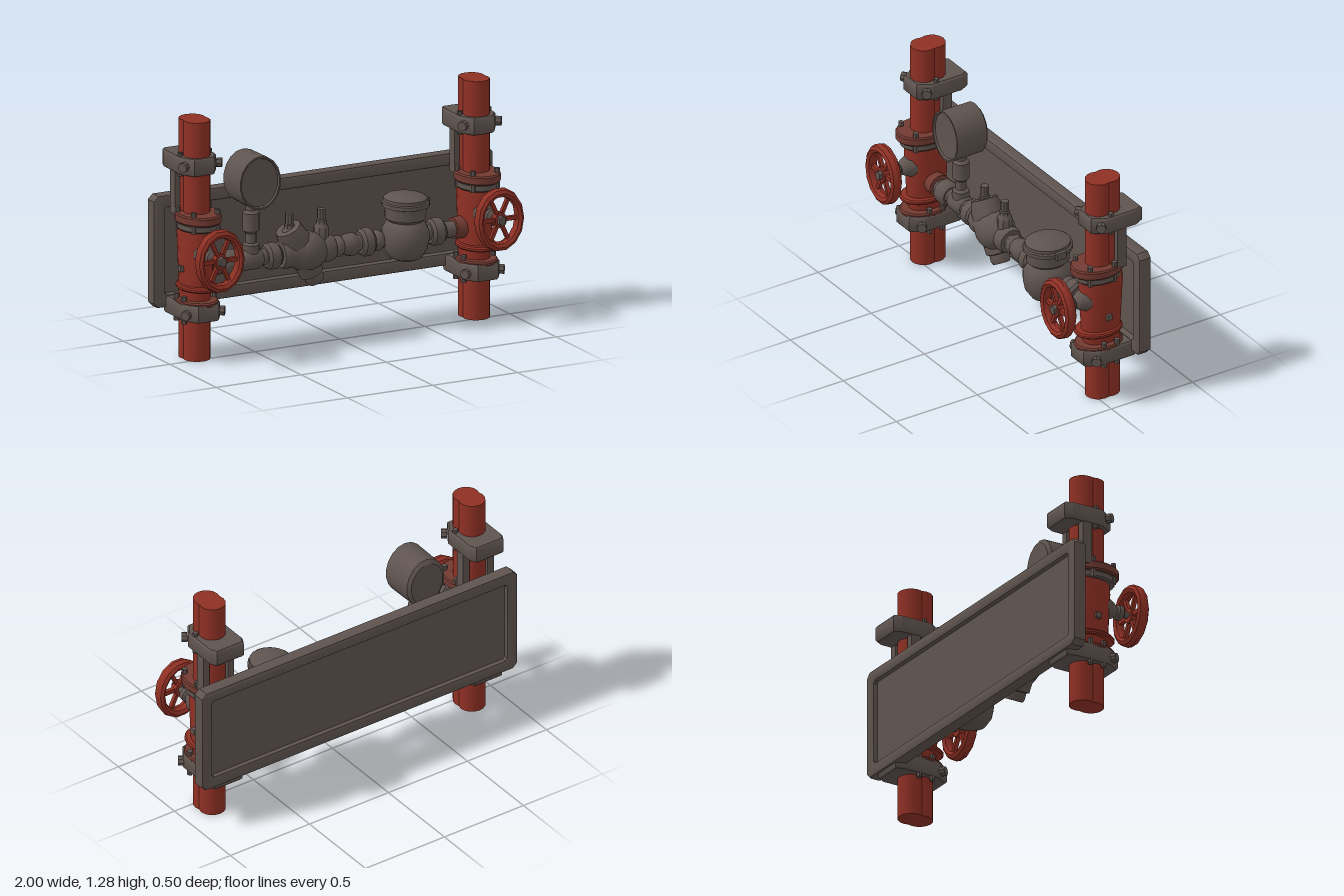
import * as THREE from 'three';
import { toCreasedNormals } from 'three/addons/utils/BufferGeometryUtils.js';

const iron = new THREE.MeshStandardMaterial({ color: 0x5f544f });
iron.name = 'dark iron';
const red = new THREE.MeshStandardMaterial({ color: 0x8f3024 });
red.name = 'red paint';
const worn = new THREE.MeshStandardMaterial({ color: 0x723a31 });
worn.name = 'worn red';

const v2 = (x, y) => new THREE.Vector2(x, y);

function add(parent, name, geometry, material, x = 0, y = 0, z = 0) {
  const mesh = new THREE.Mesh(toCreasedNormals(geometry, 0.7), material);
  mesh.name = name;
  mesh.position.set(x, y, z);
  parent.add(mesh);
  return mesh;
}

// Closed turned part; profile is [radius, height] from bottom to top
function turned(profile, sides = 16) {
  const pts = [v2(0, profile[0][1]), ...profile.map(p => v2(...p)), v2(0, profile.at(-1)[1])];
  return new THREE.LatheGeometry(pts, sides);
}

// Turned part lying along x
const turnedX = (profile, sides) => turned(profile, sides).rotateZ(-Math.PI / 2);

// Horizontal clamp outline with a chamfered nose and a rear lug
function clampGeometry(front, back, height) {
  const s = new THREE.Shape([
    v2(-0.085, back), v2(0.085, back), v2(0.105, back + 0.04), v2(0.105, front - 0.07),
    v2(0.06, front), v2(-0.06, front), v2(-0.105, front - 0.07), v2(-0.105, back + 0.04),
  ]);
  const g = new THREE.ExtrudeGeometry(s, {
    depth: height - 0.02, bevelThickness: 0.01, bevelSize: 0.008, bevelOffset: -0.008, bevelSegments: 1,
  });
  // Shape y becomes z, extrusion runs downward from the top
  return g.translate(0, 0, 0.01 - height / 2).rotateX(Math.PI / 2);
}

function buildTray() {
  const tray = new THREE.Group();
  tray.name = 'backTray';
  const rect = (w, h, c) => [
    v2(-w + c, -h), v2(w - c, -h), v2(w, -h + c), v2(w, h - c),
    v2(w - c, h), v2(-w + c, h), v2(-w, h - c), v2(-w, -h + c),
  ];
  const frame = new THREE.Shape(rect(0.986, 0.288, 0.02));
  frame.holes.push(new THREE.Path(rect(0.945, 0.247, 0.02).reverse()));
  const g = new THREE.ExtrudeGeometry(frame, {
    depth: 0.047, bevelThickness: 0.014, bevelSize: 0.014, bevelSegments: 2,
  });
  add(tray, 'trayRim', g, iron, 0, 0.553, -0.234);
  add(tray, 'trayPanel', new THREE.BoxGeometry(1.93, 0.54, 0.014), iron, 0, 0.553, -0.216);
  return tray;
}

function buildWheel() {
  const wheel = new THREE.Group();
  wheel.name = 'handWheel';
  add(wheel, 'wheelRim', new THREE.TorusGeometry(0.119, 0.021, 8, 14), red).scale.z = 1.65;
  for (let i = 0; i < 6; i++) {
    const spoke = new THREE.BoxGeometry(0.018, 0.1, 0.022).translate(0, 0.065, 0);
    add(wheel, 'wheelSpoke', spoke.rotateZ(i * Math.PI / 3 + Math.PI / 6), red);
  }
  add(wheel, 'wheelHub', new THREE.CylinderGeometry(0.035, 0.035, 0.04, 10).rotateX(Math.PI / 2), red);
  add(wheel, 'wheelNut', new THREE.CylinderGeometry(0.022, 0.026, 0.03, 6).rotateX(Math.PI / 2), iron, 0, 0, 0.022);
  wheel.scale.y = 1.23;
  wheel.position.set(0, 0.583, 0.212);
  return wheel;
}

// One upright; side is +1 or -1, and points outward
function buildUpright(side) {
  const u = new THREE.Group();
  u.name = side > 0 ? 'leftUpright' : 'rightUpright';
  u.position.x = 0.822 * side;

  // Twin-lobed pipe
  for (const z of [-0.034, -0.086])
    add(u, 'twinPipe', new THREE.CylinderGeometry(0.07, 0.07, 1.28, 16), red, 0, 0.64, z);

  // Valve body, elliptical in plan
  const body = turned([[0.095, 0.3], [0.11, 0.38], [0.115, 0.46], [0.125, 0.66], [0.12, 0.72]], 20);
  add(u, 'valveBody', body, red, 0, 0, -0.05).scale.x = 0.7;
  const ring = (name, rz, y0, y1, z, sx, mat) => {
    add(u, name, turned([[rz - 0.008, y0], [rz, y0 + 0.008], [rz, y1 - 0.008], [rz - 0.008, y1]], 20), mat, 0, 0, z).scale.x = sx;
  };
  ring('bodyRing', 0.135, 0.378, 0.404, -0.035, 0.75, red);
  ring('bonnetCollar', 0.128, 0.7, 0.742, -0.03, 0.8, iron);
  ring('upperFlange', 0.148, 0.74, 0.79, -0.025, 0.77, worn);

  // Clamps holding the pipe to the tray
  add(u, 'upperClamp', clampGeometry(0.05, -0.248, 0.092), iron, 0, 1.045, 0);
  add(u, 'lowerClamp', clampGeometry(0.095, -0.235, 0.09), iron, 0, 0.268, 0);
  ring('lowerFlange', 0.135, 0.3, 0.326, -0.035, 0.78, worn);

  for (const s of [-1, 1]) {
    add(u, 'rearPost', new THREE.BoxGeometry(0.04, 0.25, 0.055), iron, 0.078 * s, 0.895, -0.117);
    // Cross bolts
    const bolt = () => new THREE.CylinderGeometry(0.026, 0.026, 0.03, 8).rotateZ(Math.PI / 2);
    add(u, 'crossBolt', bolt(), iron, 0.105 * s, 1.05, 0.015).rotation.y = -0.6 * s;
    add(u, 'crossBolt', bolt(), iron, 0.105 * s, 0.262, 0.045).rotation.y = -0.6 * s;
    // Upright bolts
    for (const [y, h, z, x] of [[1.047, 0.125, -0.057, 0.085], [0.275, 0.145, -0.012, 0.088],
      [0.275, 0.145, -0.092, 0.088], [0.757, 0.115, 0.06, 0.07], [0.757, 0.115, -0.075, 0.09]])
      add(u, 'flangeBolt', new THREE.CylinderGeometry(0.015, 0.015, h, 6), iron, x * s, y, z);
  }
  add(u, 'drainPlug', new THREE.BoxGeometry(0.03, 0.03, 0.03), iron, 0.083 * side, 0.49, -0.045);

  // Bonnet and stem to the hand wheel
  const bonnet = turned([[0.06, 0.02], [0.06, 0.06], [0.04, 0.1], [0.028, 0.115], [0.04, 0.125],
    [0.04, 0.15], [0.018, 0.165], [0.018, 0.225]], 10).rotateX(Math.PI / 2);
  add(u, 'valveBonnet', bonnet, iron, 0, 0.583, 0);
  u.add(buildWheel());

  // Outlet stub toward the middle
  add(u, 'outletStub', new THREE.CylinderGeometry(0.056, 0.062, 0.1, 14).rotateZ(Math.PI / 2), worn, -0.08 * side, 0.49, -0.05);
  return u;
}

function buildRun() {
  const run = new THREE.Group();
  run.name = 'meterRun';
  run.position.set(0, 0.485, -0.05);

  // Main pipe and couplings
  add(run, 'runPipe', new THREE.CylinderGeometry(0.043, 0.043, 1.46, 14).rotateZ(Math.PI / 2), iron);
  const coupling = (x0, x1, r) => add(run, 'coupling', turnedX(
    [[r * 0.8, x0], [r, x0 + 0.015], [r, x1 - 0.015], [r * 0.8, x1]], 10), iron);
  for (const [a, b, r] of [[-0.67, -0.58, 0.066], [-0.56, -0.44, 0.056], [-0.415, -0.335, 0.07],
    [-0.01, 0.04, 0.055], [0.14, 0.215, 0.074], [0.22, 0.27, 0.055], [0.49, 0.54, 0.052], [0.55, 0.63, 0.072]])
    coupling(a, b, r);
  add(run, 'taperReducer', turnedX([[0.045, 0.02], [0.062, 0.08], [0.062, 0.1], [0.045, 0.13]], 12), iron);

  // Strainer with slanted branch and test plugs
  add(run, 'strainerBody', turnedX([[0.07, -0.325], [0.078, -0.3], [0.075, -0.265], [0.098, -0.215],
    [0.108, -0.17], [0.095, -0.12], [0.07, -0.085], [0.075, -0.05], [0.065, -0.02]], 14), iron);
  const branch = turned([[0.045, -0.215], [0.052, -0.2], [0.052, -0.165], [0.066, -0.16], [0.07, -0.06],
    [0.085, 0.06], [0.07, 0.13]], 12);
  add(run, 'strainerBranch', branch, iron, -0.215, 0.02, 0).rotation.z = 0.5;
  for (const x of [-0.27, -0.082]) {
    const plug = turned([[0.04, 0.05], [0.04, 0.12], [0.028, 0.135], [0.028, 0.155], [0.022, 0.16], [0.022, 0.215]], 8);
    add(run, 'testPlug', plug, iron, x, 0, 0);
  }

  // Pressure gauge on its riser
  const riser = turned([[0.045, 0], [0.045, 0.08], [0.028, 0.09], [0.028, 0.14], [0.045, 0.155],
    [0.045, 0.25], [0.028, 0.265], [0.028, 0.32]], 10);
  add(run, 'gaugeRiser', riser, iron, -0.495, 0, 0);
  const gauge = new THREE.LatheGeometry([v2(0, -0.1), v2(0.1, -0.1), v2(0.118, -0.085), v2(0.12, 0.1),
    v2(0.112, 0.1), v2(0.108, 0.088), v2(0, 0.08)], 18).rotateX(Math.PI / 2);
  add(run, 'pressureGauge', gauge, iron, -0.493, 0.43, 0).scale.y = 1.2;

  // Water meter: bowl, neck, register and lid
  const meter = turned([[0.05, -0.112], [0.09, -0.095], [0.12, -0.05], [0.13, 0.0], [0.13, 0.05],
    [0.11, 0.085], [0.095, 0.1], [0.112, 0.115], [0.115, 0.175], [0.13, 0.18], [0.13, 0.2],
    [0.12, 0.205], [0.12, 0.222], [0.105, 0.232]], 20);
  const m = add(run, 'waterMeter', meter, iron, 0.39, 0, 0.043);
  m.scale.set(0.93, 1, 1.03);
  add(run, 'lidHinge', new THREE.BoxGeometry(0.03, 0.04, 0.06), iron, 0.505, 0.19, 0.04);
  return run;
}

export function createModel() {
  const model = new THREE.Group();
  model.name = 'pipeMeterAssembly';
  model.add(buildTray(), buildUpright(1), buildUpright(-1), buildRun());
  return model;
}
